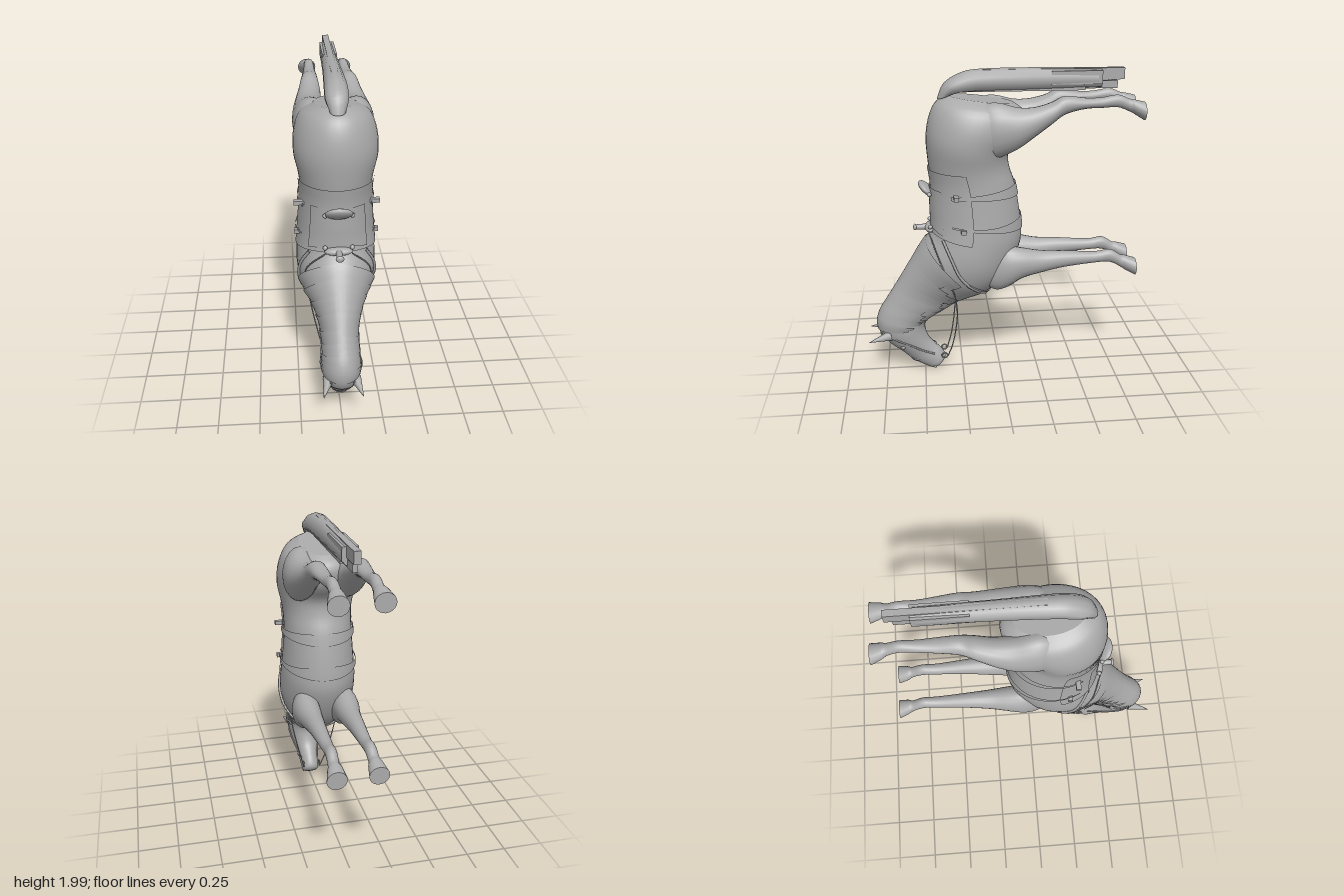
import * as THREE from 'three';

const coat = new THREE.MeshStandardMaterial({ color: 0xaaaaaa, side: THREE.DoubleSide });
coat.name = 'plain grey';

// A section is [zDorsal, yDorsal, zVentral, yVentral, xCentre, halfWidth]
const BODY = [
  [.415, .025, .38, .05, 0, .018], [.45, .006, .365, .09, 0, .054], [.5, .025, .39, .14, 0, .062],
  [.58, .075, .43, .18, 0, .068], [.66, .15, .465, .22, 0, .085], [.73, .21, .485, .265, 0, .1],
  [.785, .28, .495, .315, 0, .112], [.805, .36, .485, .355, 0, .113], [.785, .44, .45, .385, 0, .108],
  [.73, .53, .37, .43, 0, .108], [.66, .64, .27, .49, 0, .122], [.58, .77, .18, .525, 0, .165],
  [.5, .9, .08, .57, 0, .22], [.435, .99, -.035, .68, 0, .243], [.425, 1.06, -.125, .875, 0, .238],
  [.425, 1.15, -.137, 1.02, 0, .227], [.425, 1.3, -.1, 1.27, 0, .215], [.44, 1.42, -.06, 1.4, 0, .222],
  [.45, 1.58, -.06, 1.5, 0, .248], [.43, 1.71, -.14, 1.61, 0, .245], [.385, 1.8, -.16, 1.725, 0, .205],
  [.31, 1.842, -.09, 1.79, 0, .12],
];
// Straight limbs use [z, yTop, yBottom, xCentre, halfWidth]
const limb = rows => rows.map(([z, t, b, x, w]) => [z, t, z, b, x, w]);
const FORE = limb([
  [.12, .82, .66, .115, .04], [.04, .875, .615, .122, .072], [-.04, .905, .635, .127, .086], [-.13, .89, .69, .126, .082],
  [-.25, .865, .72, .12, .065], [-.4, .857, .75, .118, .05], [-.6, .843, .77, .115, .036],
  [-.7, .855, .77, .115, .034], [-.77, .815, .735, .118, .034], [-.8, .81, .715, .118, .045], [-.865, .79, .68, .122, .06],
]);
const HIND = limb([
  [.22, 1.74, 1.54, .11, .05], [.15, 1.78, 1.5, .12, .085], [.07, 1.812, 1.475, .128, .108], [0, 1.81, 1.49, .136, .11],
  [-.1, 1.785, 1.54, .145, .098], [-.2, 1.785, 1.61, .143, .083], [-.3, 1.81, 1.68, .13, .07],
  [-.38, 1.845, 1.735, .125, .055], [-.5, 1.83, 1.765, .12, .045], [-.6, 1.83, 1.768, .117, .036],
  [-.7, 1.845, 1.77, .115, .032], [-.77, 1.82, 1.745, .115, .034], [-.8, 1.815, 1.73, .118, .045], [-.865, 1.8, 1.69, .122, .06],
]);
const TAIL = [
  [.375, 1.82, .3, 1.84, 0, .045], [.335, 1.91, .24, 1.853, 0, .068], [.24, 1.97, .18, 1.855, 0, .07],
  [.12, 1.993, .08, 1.858, 0, .066], [-.2, 1.997, -.2, 1.86, 0, .055], [-.62, 1.99, -.62, 1.87, 0, .048],
];

// Smoothly interpolated section, and a point on its rim (a = 0 dorsal, +x at PI/2)
function sectionAt(S, u) {
  const i = Math.min(Math.floor(u), S.length - 2), t = u - i;
  const g = k => S[Math.max(0, Math.min(S.length - 1, k))];
  return S[0].map((_, c) => {
    const [p, q, r, s] = [g(i - 1)[c], g(i)[c], g(i + 1)[c], g(i + 2)[c]];
    return q + .5 * t * (r - p + t * (2 * p - 5 * q + 4 * r - s + t * (3 * (q - r) + s - p)));
  });
}
function rim(S, u, a, off = 0) {
  const [zd, yd, zv, yv, x, w] = sectionAt(S, u);
  const h = Math.hypot(zd - zv, yd - yv) / 2, k = (1 + off / h) / 2 * Math.cos(a);
  return [x + (w + off) * Math.sin(a), (yd + yv) / 2 + (yd - yv) * k, (zd + zv) / 2 + (zd - zv) * k];
}

// Grid surface from a rule fn(s, t); a closed one wraps in t and gets end caps
function grid(fn, ns, nt, closed = false) {
  const pos = [], idx = [], row = closed ? nt : nt + 1;
  for (let i = 0; i <= ns; i++) for (let j = 0; j < row; j++) pos.push(...fn(i / ns, j / nt));
  for (let i = 0; i < ns; i++) for (let j = 0; j < nt; j++) {
    const k = (j + 1) % row, a = i * row + j, b = i * row + k;
    idx.push(a, b, b + row, a, b + row, a + row);
  }
  if (closed) for (const end of [0, 1]) {
    const base = pos.length / 3, c = [0, 0, 0];
    for (let j = 0; j < nt; j++) {
      const p = fn(end, j / nt);
      pos.push(...p);
      p.forEach((v, n) => { c[n] += v / nt; });
    }
    pos.push(...c);
    for (let j = 0; j < nt; j++) {
      const a = base + j, b = base + (j + 1) % nt;
      idx.push(base + nt, ...(end ? [a, b] : [b, a]));
    }
  }
  const g = new THREE.BufferGeometry();
  g.setAttribute('position', new THREE.Float32BufferAttribute(pos, 3));
  g.setIndex(idx);
  g.computeVertexNormals();
  return g;
}
const loft = (S, per, sides) =>
  grid((s, t) => rim(S, s * (S.length - 1), t * Math.PI * 2), (S.length - 1) * per, sides, true);
// Strip lying on the body between section positions and angles
const patch = (u0, u1, a0, a1, off, ns = 6, nt = 32) =>
  grid((s, t) => rim(BODY, u0 + (u1 - u0) * s, a0 + (a1 - a0) * t, off), ns, nt);

export function createModel() {
  const model = new THREE.Group();
  const add = (name, geo, p = [0, 0, 0], rot = [0, 0, 0], scale = [1, 1, 1]) => {
    const m = new THREE.Mesh(geo, coat);
    m.name = name;
    m.position.set(...p); m.rotation.set(...rot); m.scale.set(...scale);
    model.add(m);
    return m;
  };
  const cord = (name, pts, r) => add(name, new THREE.TubeGeometry(
    new THREE.CatmullRomCurve3(pts.map(p => new THREE.Vector3(...p))), 28, r, 6));
  let seed = 7;
  const rand = () => (seed = (seed * 16807) % 2147483647) / 2147483647;

  add('body', loft(BODY, 4, 40));

  // Legs
  for (const [name, S] of [['foreLeg', FORE], ['hindLeg', HIND]]) for (const side of [1, -1])
    add(name, loft(S.map(r => [...r.slice(0, 4), r[4] * side, r[5]]), 4, 20));

  // Tail with loose square strands at its end
  add('tail', loft(TAIL, 4, 10));
  for (const [w, y, h, z0, z1] of [[.04, 1.955, .07, .1, -.76], [.03, 1.89, .045, .1, -.72],
    [.092, 1.938, .08, -.31, -.62], [.06, 1.875, .03, .15, -.52]])
    add('tailStrand', new THREE.BoxGeometry(w, h, z0 - z1), [0, y, (z0 + z1) / 2]);

  // Mane: overlapping locks hanging down both sides of the neck, lifting at the tips
  for (let k = 0; k < 17; k++) for (const side of [1, -1]) {
    const u = 6.9 + k * .32, reach = (k < 12 ? 1.85 : 1.85 - (k - 11) * .12) + rand() * .6;
    const lift = .007 + rand() * .011, drift = -.1 - rand() * .35;
    add('maneLock', grid((s, t) => rim(BODY, u + drift * t + (s - .5) * (.8 - .35 * t),
      side * reach * t, .003 + lift * t * (.4 + .6 * s)), 3, 14));
  }

  // Saddle blanket with a straight front edge, and the seat
  add('saddleBlanket', grid((s, t) => {
    const a = (t * 2 - 1) * 1.45, u0 = 12.95 + Math.abs(a) * .58;
    return rim(BODY, u0 + (16.87 - u0) * s, a, .009);
  }, 16, 32));
  add('saddleSeat', patch(13.6, 15.9, -.75, .75, .016, 10, 20));
  const ball = new THREE.SphereGeometry(1, 20, 14);
  add('cantle', ball, [0, 1.262, .455], [-.75, 0, 0], [.082, .026, .066]);
  add('pommel', ball, [0, 1.01, .44], [0, 0, 0], [.085, .025, .035]);
  add('saddleHorn', new THREE.CylinderGeometry(.016, .022, .1, 14), [0, 1.01, .485], [Math.PI / 2, 0, 0]);
  add('hornCap', ball, [0, 1.01, .535], [0, 0, 0], [.025, .02, .012]);

  // Girth straps, narrow at the sides and wide under the belly, with buckles
  for (const [sideU, bellyU, y, z] of [[15.74, 15.98, 1.26, .28], [14.52, 15.12, 1.05, .24]]) {
    add('girth', grid((s, t) => {
      const belly = Math.sin(Math.PI * t);
      return rim(BODY, sideU + (bellyU - sideU) * belly + (s - .5) * (.13 + .25 * belly ** 2),
        1 + t * (Math.PI * 2 - 2), .02 - .012 * belly);
    }, 3, 48));
    for (const side of [1, -1]) {
      add('buckle', new THREE.BoxGeometry(.06, .025, .03), [side * .225, y, z]);
      add('seatStud', ball, [side * .08, y - .015, .44], [0, 0, 0], [.014, .014, .014]);
    }
  }

  // Breast collar
  const collar = [[13.3, .75], [12.7, 1.15], [12.2, 1.6], [12, 2.1], [12, 2.6], [12, Math.PI]];
  for (const s of [1, -1]) cord('breastStrap', collar.map(([u, a]) => rim(BODY, u, s * a, .006)), .009);
  add('breastBand', patch(11.93, 12.15, 1.9, Math.PI * 2 - 1.9, .009, 2, 24));

  for (const s of [1, -1]) {
    // Reins from the saddle to the bit
    cord('rein', [[s * .08, 1, .45], [s * .19, .88, .4], [s * .2, .72, .34], [s * .17, .6, .3],
      [s * .15, .48, .285], [s * .12, .34, .295], [s * .085, .2, .32], [s * .06, .11, .35]], .004);
    // Bridle cheek strap and bit ring
    cord('cheekStrap', [[6.3, .6], [5.6, 1.2], [4.6, 1.6], [3.4, 1.85], [2.4, 2.1]]
      .map(([u, a]) => rim(BODY, u, s * a, .003)), .006);
    add('bitRing', new THREE.TorusGeometry(.018, .005, 6, 16), [s * .058, .115, .37], [0, Math.PI / 2, 0]);
    // Eye, nostril and ear
    add('eye', ball, rim(BODY, 4.6, s * 1.1, -.004), [0, 0, 0], [.012, .016, .016]);
    add('nostril', ball, rim(BODY, 1.2, s * 1.0, -.004), [0, 0, 0], [.008, .012, .012]);
    const ear = add('ear', new THREE.ConeGeometry(.034, .15, 14), [s * .1, .28, .79]);
    ear.quaternion.setFromUnitVectors(new THREE.Vector3(0, 1, 0), new THREE.Vector3(s * .25, -.2, 1).normalize());
  }
  add('noseBand', patch(2.85, 3.1, 0, Math.PI * 2, .006, 2, 28));
  add('browBand', patch(5.75, 5.95, -1.4, 1.4, .006, 2, 24));

  return model;
}
